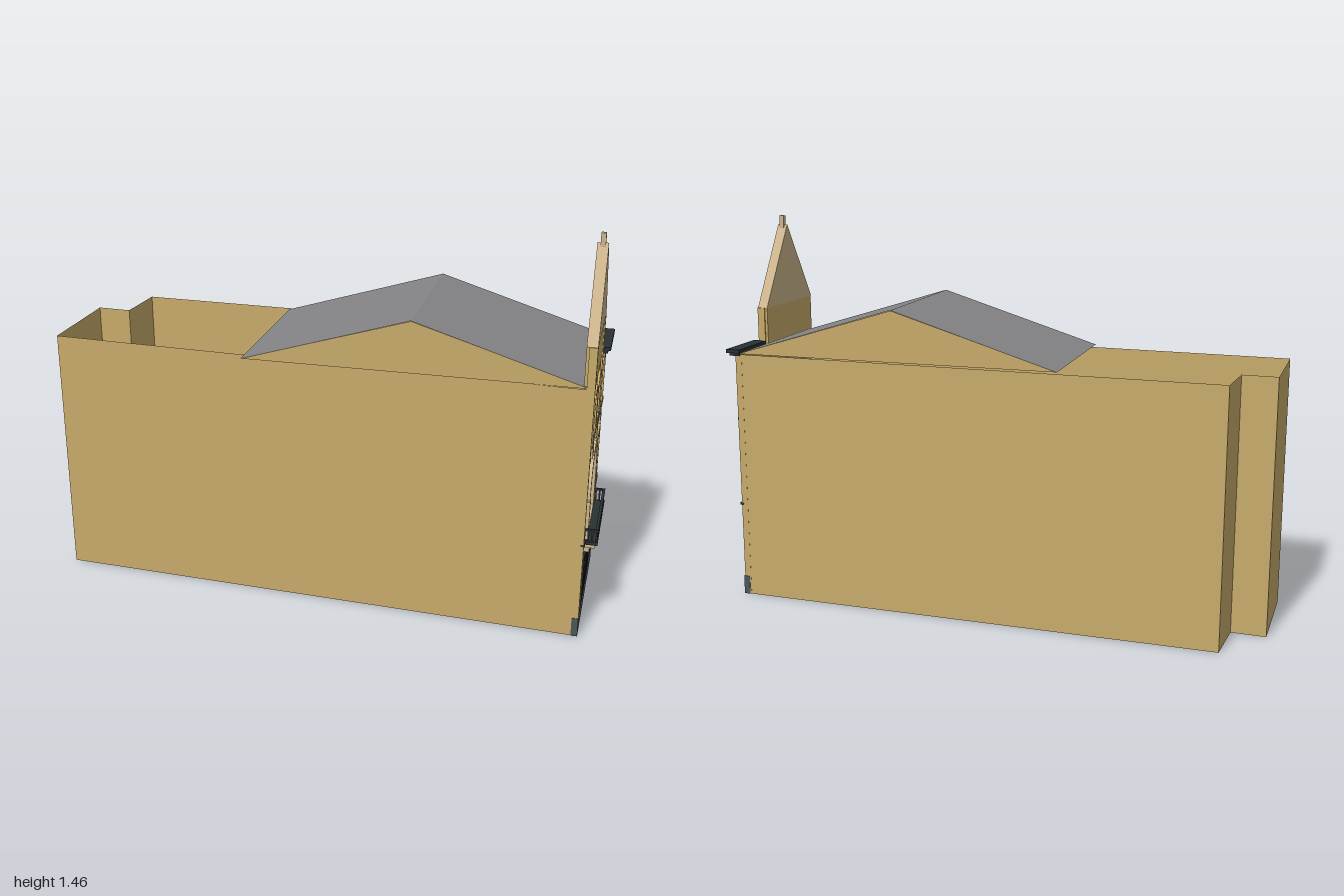
import * as THREE from 'three';

const paint = (name, color, side = THREE.FrontSide) => {
  const m = new THREE.MeshStandardMaterial({ color, side });
  m.name = name;
  return m;
};

export function createModel() {
  const wall = paint('tan render', 0xc8ab6c, THREE.DoubleSide);
  const slate = paint('grey roof', 0x858588, THREE.DoubleSide);
  const stone = paint('beige stone', 0xcdb58d);
  const dark = paint('dark glass and plinth', 0x4c5658);
  const iron = paint('black iron', 0x2a3134);
  const teal = paint('teal tile', 0x62b48c);
  const brown = paint('brown door', 0x6a4f40);

  const model = new THREE.Group();
  model.name = 'townHouse';
  // Street front frame: x runs along the facade, z points out to the street
  const front = new THREE.Group();
  front.name = 'streetFront';
  front.position.set(0.96, 0, -0.19);
  front.rotation.y = THREE.MathUtils.degToRad(120);
  model.add(front);

  const add = (name, geo, mat, parent = front) => {
    const mesh = new THREE.Mesh(geo, mat);
    mesh.name = name;
    parent.add(mesh);
    return mesh;
  };
  const box = (name, mat, x0, x1, y0, y1, z0, z1) => {
    const geo = new THREE.BoxGeometry(x1 - x0, y1 - y0, z1 - z0);
    geo.translate((x0 + x1) / 2, (y0 + y1) / 2, (z0 + z1) / 2);
    return add(name, geo, mat);
  };
  const slab = (name, mat, shape, z0, z1) => {
    const geo = new THREE.ExtrudeGeometry(shape, { depth: z1 - z0, bevelEnabled: false });
    return add(name, geo.translate(0, 0, z0), mat);
  };
  // Convex polygon as a triangle fan
  const face = (name, mat, pts, parent) => {
    const geo = new THREE.BufferGeometry();
    const out = [];
    for (let i = 1; i < pts.length - 1; i++) out.push(...pts[0], ...pts[i], ...pts[i + 1]);
    geo.setAttribute('position', new THREE.Float32BufferAttribute(out, 3));
    geo.computeVertexNormals();
    return add(name, geo, mat, parent);
  };
  const polygon = pts => pts.map(p => new THREE.Vector2(...p));
  const archPoints = (cx, hw, y0, spring, rise) => {
    const pts = [[cx - hw, y0], [cx + hw, y0]];
    for (let i = 0; i <= 14; i++) {
      const a = Math.PI * i / 14;
      pts.push([cx + hw * Math.cos(a), spring + rise * Math.sin(a)]);
    }
    return polygon(pts);
  };
  const archWindow = (name, mat, cx, hw, y0, spring, rise, rim, depth) => {
    slab(name + 'Glass', dark, new THREE.Shape(archPoints(cx, hw, y0, spring, rise)), 0.001, 0.007);
    const ring = new THREE.Shape(archPoints(cx, hw + rim, y0 - 0.006, spring, rise + rim));
    ring.holes.push(new THREE.Path(archPoints(cx, hw, y0, spring, rise)));
    slab(name + 'Surround', mat, ring, 0, depth);
  };
  const frame = (name, mat, x0, x1, y0, y1, t, d) => {
    box(name + 'Left', mat, x0, x0 + t, y0, y1, 0, d);
    box(name + 'Right', mat, x1 - t, x1, y0, y1, 0, d);
    box(name + 'Top', mat, x0 + t, x1 - t, y1 - t, y1, 0, d);
  };

  // Long body: open-topped walls with a stepped rear
  const plan = [[0.96, -0.19], [-0.82, 0.745], [-1, 0.42], [-0.885, 0.36], [-0.97, 0.18], [0.66, -0.72]];
  for (let i = 0; i < plan.length - 1; i++) {
    const [ax, az] = plan[i], [bx, bz] = plan[i + 1];
    face('bodyWall', wall, [[bx, 0, bz], [ax, 0, az], [ax, 0.96, az], [bx, 0.96, bz]], model);
  }
  box('facadeWall', wall, 0, 0.61, 0, 0.96, -0.015, 0);

  // Pitched roof with tan gable ends
  const W = 0.612, D = -1.25, E = 0.962, R = 1.155;
  face('roofFrontSlope', slate, [[0, E, 0], [W, E, 0], [W, R, D / 2], [0, R, D / 2]], front);
  face('roofRearSlope', slate, [[0, R, D / 2], [W, R, D / 2], [W, E, D], [0, E, D]], front);
  face('gableLeft', wall, [[0.003, E, D], [0.003, E, 0], [0.003, R - 0.002, D / 2]], front);
  face('gableRight', wall, [[W - 0.003, E, 0], [W - 0.003, E, D], [W - 0.003, R - 0.002, D / 2]], front);

  // Plinth and pilasters
  box('plinth', dark, -0.002, 0.612, 0, 0.073, -0.01, 0.014);
  box('pilaster', wall, 0, 0.025, 0.073, 1.11, -0.015, 0.014);
  box('pilaster', wall, 0.387, 0.41, 0.073, 1.11, -0.015, 0.014);
  box('edgePilaster', wall, 0.597, 0.61, 0.073, 0.955, 0, 0.01);

  // Tower top: thin wall, steep gable and finial
  box('towerWall', wall, 0.01, 0.405, 0.95, 1.11, -0.025, 0.01);
  slab('towerGable', stone, new THREE.Shape(polygon([[0.005, 1.11], [0.405, 1.11], [0.205, 1.42]])), -0.025, 0.014);
  box('finial', stone, 0.196, 0.214, 1.395, 1.455, -0.014, 0.004);

  // Ground floor with iron gate
  box('groundPanel', stone, 0.025, 0.387, 0.073, 0.355, 0, 0.009);
  for (let i = 0; i < 10; i++) {
    const x = 0.06 + i * 0.0325;
    box('gateBar', iron, x - 0.004, x + 0.004, 0.1, 0.3, 0.009, 0.017);
  }
  box('gateRail', iron, 0.045, 0.365, 0.295, 0.303, 0.009, 0.018);
  const gateArch = new THREE.CatmullRomCurve3(
    [[0.1, 0.19], [0.125, 0.255], [0.165, 0.285], [0.207, 0.297], [0.249, 0.285], [0.29, 0.255], [0.315, 0.19]]
      .map(([x, y]) => new THREE.Vector3(x, y, 0.014)));
  add('gateArch', new THREE.TubeGeometry(gateArch, 24, 0.006, 6), iron);

  // Balcony on brackets
  box('stringCourse', iron, 0, 0.61, 0.364, 0.373, 0, 0.018);
  box('balconyFloor', iron, 0.03, 0.388, 0.36, 0.372, 0, 0.06);
  for (const x of [0.055, 0.207, 0.355]) {
    box('bracket', stone, x - 0.018, x + 0.018, 0.345, 0.36, 0, 0.05);
    box('bracketFoot', stone, x - 0.012, x + 0.012, 0.325, 0.345, 0, 0.032);
  }
  box('handrail', iron, 0.03, 0.388, 0.413, 0.421, 0.05, 0.06);
  for (let i = 0; i <= 20; i++) {
    const x = 0.033 + i * 0.0176;
    box('baluster', iron, x - 0.003, x + 0.003, 0.372, 0.413, 0.052, 0.058);
  }
  for (const x of [0.03, 0.38]) {
    box('sideHandrail', iron, x, x + 0.008, 0.413, 0.421, 0, 0.05);
    for (const z of [0.012, 0.026, 0.04])
      box('sideBaluster', iron, x + 0.001, x + 0.007, 0.372, 0.413, z - 0.003, z + 0.003);
  }

  // Teal tile bands with dark lines and carved ornaments
  box('tealBandLeft', teal, 0.025, 0.387, 0.645, 0.728, 0, 0.006);
  box('tealBandRight', teal, 0.41, 0.597, 0.625, 0.7, 0, 0.006);
  box('bandLineLeft', iron, 0.01, 0.395, 0.657, 0.667, 0, 0.012);
  box('bandLineRight', iron, 0.41, 0.605, 0.657, 0.665, 0, 0.012);
  for (const [x, y] of [[0.115, 0.683], [0.3, 0.683], [0.51, 0.66]]) {
    box('ornament', stone, x - 0.024, x + 0.024, y - 0.016, y + 0.008, 0, 0.018);
    box('ornamentTop', stone, x - 0.01, x + 0.01, y + 0.008, y + 0.032, 0, 0.018);
  }

  // Arched windows
  archWindow('greatWindow', stone, 0.207, 0.128, 0.376, 0.535, 0.13, 0.024, 0.022);
  slab('keystone', stone, new THREE.Shape(polygon([[0.165, 0.67], [0.249, 0.67], [0.207, 0.692]])), 0, 0.021);
  for (const s of [-1, 1]) {
    const x = 0.207 + s * 0.148;
    box('archImpost', stone, x - 0.014, x + 0.014, 0.373, 0.52, 0, 0.024);
  }
  for (const x of [0.117, 0.277]) {
    archWindow('upperWindow', wall, x, 0.055, 0.75, 0.862, 0.058, 0.014, 0.016);
    frame('upperPanel', wall, x - 0.08, x + 0.08, 0.735, 0.945, 0.008, 0.01);
  }
  box('upperSill', wall, 0.025, 0.387, 0.73, 0.744, 0, 0.018);
  archWindow('sideWindow', wall, 0.507, 0.065, 0.722, 0.845, 0.065, 0.014, 0.016);
  box('sideSill', wall, 0.415, 0.597, 0.7, 0.716, 0, 0.018);

  // Right bay: rectangular window, door and pediment
  box('middleGlass', dark, 0.437, 0.57, 0.395, 0.582, 0, 0.007);
  box('mullion', iron, 0.5, 0.507, 0.395, 0.582, 0, 0.01);
  frame('middleFrame', wall, 0.417, 0.59, 0.375, 0.605, 0.02, 0.016);
  box('middleSill', wall, 0.417, 0.59, 0.375, 0.395, 0, 0.018);
  box('door', brown, 0.437, 0.57, 0.083, 0.256, 0, 0.008);
  frame('doorFrame', wall, 0.417, 0.59, 0.073, 0.285, 0.02, 0.016);
  slab('pediment', stone, new THREE.Shape(polygon([[0.41, 0.288], [0.597, 0.288], [0.503, 0.36]])), 0, 0.016);

  // Cornice over the right bay
  box('corniceLower', iron, 0.405, 0.618, 0.955, 0.967, -0.01, 0.03);
  box('corniceUpper', iron, 0.4, 0.628, 0.967, 0.98, -0.015, 0.04);
  for (const x of [0.43, 0.48, 0.53, 0.58])
    box('dentil', wall, x - 0.008, x + 0.008, 0.932, 0.955, 0, 0.02);

  return model;
}
